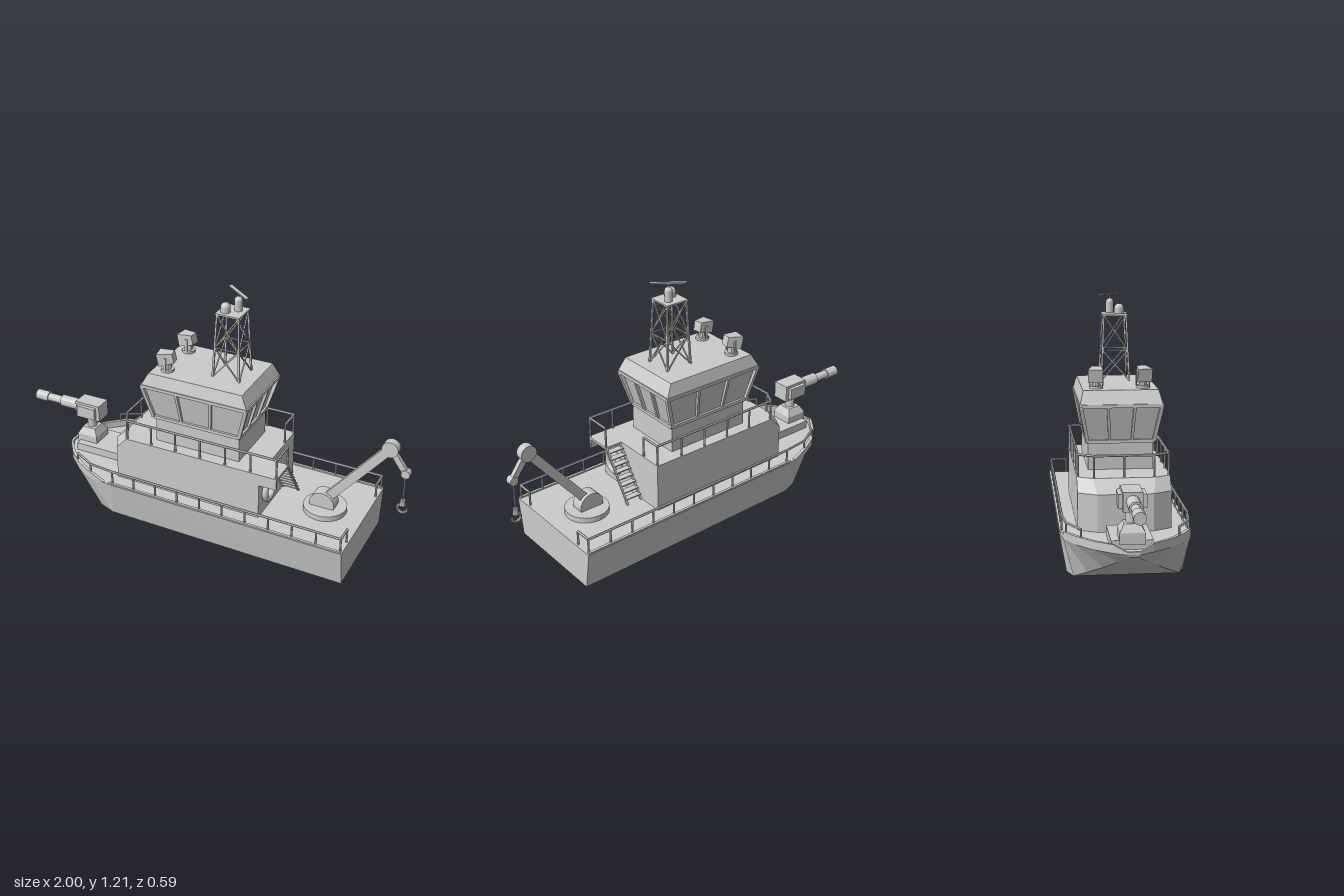
import * as THREE from 'three';

const mat = new THREE.MeshStandardMaterial({ color: 0xcccccc, flatShading: true, side: THREE.DoubleSide });
const smooth = new THREE.MeshStandardMaterial({ color: 0xcccccc });
const V = (x, y, z) => new THREE.Vector3(x, y, z);

function add(parent, name, geo, x = 0, y = 0, z = 0, m = mat) {
  const mesh = new THREE.Mesh(geo, m);
  mesh.name = name;
  mesh.position.set(x, y, z);
  parent.add(mesh);
  return mesh;
}
function group(parent, name, x = 0, y = 0, z = 0) {
  const g = new THREE.Group();
  g.name = name;
  g.position.set(x, y, z);
  parent.add(g);
  return g;
}
const box = (p, name, w, h, d, x, y, z) => add(p, name, new THREE.BoxGeometry(w, h, d), x, y, z);

// Closed solid through a series of rings with equal point counts
function loft(rings) {
  const n = rings[0].length, tris = [];
  for (let i = 0; i < rings.length - 1; i++) {
    for (let j = 0; j < n; j++) {
      const k = (j + 1) % n, a = rings[i], b = rings[i + 1];
      tris.push([a[j], a[k], b[k]], [a[j], b[k], b[j]]);
    }
  }
  const first = rings[0], last = rings[rings.length - 1];
  for (let j = 1; j < n - 1; j++) tris.push([first[0], first[j + 1], first[j]], [last[0], last[j], last[j + 1]]);
  let volume = 0;
  for (const [a, b, c] of tris) volume += a.dot(b.clone().cross(c));
  const pos = [];
  for (const t of tris) for (const v of volume < 0 ? [t[0], t[2], t[1]] : t) pos.push(v.x, v.y, v.z);
  const geo = new THREE.BufferGeometry();
  geo.setAttribute('position', new THREE.Float32BufferAttribute(pos, 3));
  geo.computeVertexNormals();
  return geo;
}
const rect = (x0, x1, y, z) => [V(x0, y, -z), V(x1, y, -z), V(x1, y, z), V(x0, y, z)];

// Bar between two points: round, or square when sides is 4
function strut(p, name, a, b, r, sides = 6) {
  const geo = new THREE.CylinderGeometry(r, r, a.distanceTo(b), sides);
  if (sides === 4) geo.rotateY(Math.PI / 4);
  const m = add(p, name, geo);
  m.position.copy(a).lerp(b, 0.5);
  m.quaternion.setFromUnitVectors(V(0, 1, 0), b.clone().sub(a).normalize());
  return m;
}
// Top bar along a path, with posts at regular steps
function railing(p, name, path, h, step) {
  const g = group(p, name);
  const up = (v) => v.clone().add(V(0, h, 0));
  path.forEach((a, i) => {
    strut(g, 'post', a, up(a), 0.005);
    if (i === path.length - 1) return;
    const b = path[i + 1], n = Math.max(1, Math.round(a.distanceTo(b) / step));
    strut(g, 'topBar', up(a), up(b), 0.006);
    for (let k = 1; k < n; k++) {
      const q = a.clone().lerp(b, k / n);
      strut(g, 'post', q, up(q), 0.005);
    }
  });
}

function buildHull(ship) {
  // Deck x, y, half width; bottom x, y, half width
  const sections = [
    [0.79, 0.187, 0.295, 0.79, 0, 0.265], [-0.4, 0.2, 0.295, -0.42, 0.015, 0.262],
    [-0.53, 0.2, 0.28, -0.5, 0.018, 0.235], [-0.62, 0.2, 0.235, -0.58, 0.06, 0.18],
    [-0.7, 0.2, 0.165, -0.66, 0.105, 0.12], [-0.76, 0.2, 0.085, -0.73, 0.15, 0.06],
    [-0.79, 0.2, 0.03, -0.785, 0.185, 0.02]];
  add(ship, 'hull', loft(sections.map(([x, y, w, bx, by, bw]) =>
    [V(x, y, w), V(x, y, -w), V(bx, by, -bw), V(bx, by, bw)])));
  // Low wall round the bow, fading out towards midships
  const half = [[-0.45, 0.291, 0.002], [-0.53, 0.28, 0.03], ...sections.slice(3).map((s) => [s[0], s[2], s[0] < -0.78 ? 0.01 : 0.035])];
  const path = [...half, ...half.slice().reverse().map(([x, z, h]) => [x, -z, h])];
  add(ship, 'bowBulwark', loft(path.map(([x, z, h]) => {
    const ix = x + (x < -0.6 ? 0.012 : 0.004), iz = z * 0.95;
    return [V(x, 0.198, z), V(x, 0.2 + h, z), V(ix, 0.2 + h, iz), V(ix, 0.198, iz)];
  })));
  for (const s of [1, -1]) {
    strut(ship, 'gunwale', V(0.785, 0.188, s * 0.286), V(-0.42, 0.201, s * 0.286), 0.009, 4);
    railing(ship, 'deckRail', [V(-0.64, 0.2, s * 0.21), V(-0.53, 0.2, s * 0.268), V(-0.4, 0.2, s * 0.281),
      V(0.78, 0.19, s * 0.281), V(0.78, 0.19, s * 0.2)], 0.07, 0.117);
  }
  box(ship, 'foredeckPlatform', 0.24, 0.045, 0.18, -0.6, 0.2175, 0);
}

function buildHouse(ship) {
  const ring = (y, xf, zf, xc, zc) => [V(0.345, y, -zc), V(0.345, y, zc), V(xc, y, zc), V(xf, y, zf), V(xf, y, -zf), V(xc, y, -zc)];
  add(ship, 'deckhouse', loft([ring(0.18, -0.455, 0.125, -0.41, 0.21), ring(0.37, -0.455, 0.125, -0.41, 0.21), ring(0.43, -0.395, 0.14, -0.355, 0.21)]));
  box(ship, 'stairLanding', 0.09, 0.012, 0.14, 0.388, 0.424, 0.14);
  box(ship, 'landingBracket', 0.085, 0.06, 0.012, 0.388, 0.4, 0.203);
  railing(ship, 'upperRail', [V(0.34, 0.43, -0.1), V(0.34, 0.43, -0.204), V(-0.35, 0.43, -0.204), V(-0.388, 0.43, -0.135),
    V(-0.388, 0.43, 0.135), V(-0.35, 0.43, 0.204), V(0.428, 0.43, 0.204), V(0.428, 0.43, 0.075)], 0.1, 0.14);
  // Stairs up to the landing
  const stairs = group(ship, 'stairs');
  for (const x of [0.35, 0.427]) strut(stairs, 'stringer', V(x, 0.19, -0.085), V(x, 0.425, 0.075), 0.006, 4);
  for (let i = 0; i < 8; i++) box(stairs, 'tread', 0.08, 0.006, 0.03, 0.388, 0.218 + i * 0.027, -0.068 + i * 0.0184);
  const ringBuoy = add(ship, 'lifeRing', new THREE.TorusGeometry(0.047, 0.015, 10, 24), 0.358, 0.3, 0.117, smooth);
  ringBuoy.rotation.y = Math.PI / 2;
}

function buildWheelhouse(ship) {
  const g = group(ship, 'wheelhouse');
  add(g, 'wheelhouseBase', loft([rect(-0.22, 0.215, 0.42, 0.15), rect(-0.22, 0.215, 0.56, 0.15)]));
  add(g, 'windowPanes', loft([rect(-0.225, 0.21, 0.56, 0.147), rect(-0.265, 0.255, 0.74, 0.178)]));
  add(g, 'roof', loft([rect(-0.28, 0.27, 0.73, 0.19), rect(-0.242, 0.235, 0.8, 0.172)]));
  // Sills, corner posts and mullions round three windows per side
  const low = rect(-0.23, 0.215, 0.562, 0.152), high = rect(-0.273, 0.263, 0.732, 0.184);
  for (let i = 0; i < 4; i++) {
    const j = (i + 1) % 4;
    strut(g, 'sill', low[i], low[j], 0.011, 4);
    strut(g, 'windowHeader', high[i], high[j], 0.011, 4);
    for (let k = 0; k < 3; k++) {
      strut(g, 'windowPost', low[i].clone().lerp(low[j], k / 3), high[i].clone().lerp(high[j], k / 3), k ? 0.009 : 0.012, 4);
    }
  }
  // Searchlights on the roof
  for (const s of [1, -1]) {
    const lamp = group(g, 'searchlight', -0.175, 0.8, s * 0.107);
    add(lamp, 'lampBase', new THREE.CylinderGeometry(0.032, 0.032, 0.012, 12), 0, 0.006, 0);
    for (const z of [-0.03, 0.03]) box(lamp, 'lampBracket', 0.014, 0.065, 0.005, 0, 0.042, z);
    add(lamp, 'lampPost', new THREE.CylinderGeometry(0.016, 0.02, 0.035, 10), 0, 0.025, 0);
    const face = (x, h, w) => [V(x, -h, -w), V(x, -h, w), V(x, h, w), V(x, h, -w)];
    const head = add(lamp, 'lampHead', loft([face(-0.04, 0.031, 0.034), face(0.035, 0.024, 0.022)]), 0, 0.068, 0);
    head.rotation.set(0, s * 0.15, 0.2);
  }
}

function buildMast(ship) {
  const g = group(ship, 'latticeMast', 0.105, 0, 0);
  const level = (y) => { const t = (y - 0.8) / 0.315; return rect(-0.067 + 0.014 * t, 0.067 - 0.014 * t, y, 0.067 - 0.015 * t); };
  const levels = [0.8, 0.945, 1.11].map(level);
  for (let b = 0; b < 2; b++) {
    const lo = levels[b], hi = levels[b + 1];
    for (let i = 0; i < 4; i++) {
      const j = (i + 1) % 4;
      strut(g, 'mastLeg', lo[i], hi[i], 0.006, 4);
      strut(g, 'mastRung', hi[i], hi[j], 0.004, 4);
      strut(g, 'crossBrace', lo[i], hi[j], 0.004, 4);
      strut(g, 'crossBrace', lo[j], hi[i], 0.004, 4);
    }
  }
  box(g, 'mastPlatform', 0.12, 0.008, 0.12, 0, 1.114, 0);
  for (const [x, z, r, h] of [[-0.025, 0.022, 0.023, 0.024], [0.02, -0.018, 0.019, 0.05]]) {
    add(g, 'domeBase', new THREE.CylinderGeometry(r, r, h, 16), x, 1.117 + h / 2, z, smooth);
    add(g, 'dome', new THREE.SphereGeometry(r, 16, 10), x, 1.117 + h, z, smooth);
  }
  add(g, 'radarStem', new THREE.CylinderGeometry(0.004, 0.004, 0.03, 8), 0.02, 1.192, -0.018);
  box(g, 'radarBar', 0.165, 0.006, 0.016, 0.02, 1.206, -0.018).rotation.y = -0.65;
}

function buildCannon(ship) {
  const g = group(ship, 'waterCannon', -0.68, 0, 0);
  box(g, 'cannonBase', 0.11, 0.05, 0.11, 0, 0.25, 0);
  add(g, 'cannonPedestal', loft([rect(-0.055, 0.055, 0.275, 0.055), rect(-0.035, 0.035, 0.31, 0.035)]));
  add(g, 'cannonColumn', new THREE.CylinderGeometry(0.024, 0.024, 0.07, 12), 0, 0.335, 0);
  box(g, 'cannonBody', 0.135, 0.085, 0.085, 0.002, 0.41, 0);
  for (const z of [-0.052, 0.052]) box(g, 'bodySidePlate', 0.1, 0.06, 0.018, 0.002, 0.41, z);
  for (const [x0, x1, r] of [[-0.06, -0.17, 0.03], [-0.17, -0.25, 0.021], [-0.25, -0.32, 0.027]]) {
    strut(g, 'barrel', V(x0, 0.41, 0), V(x1, 0.41, 0), r, 12);
  }
}

function buildCrane(ship) {
  const g = group(ship, 'crane');
  const joint = (name, x, y, r, w) => strut(g, name, V(x, y, -w), V(x, y, w), r, 20);
  add(g, 'craneBase', new THREE.CylinderGeometry(0.104, 0.104, 0.03, 28), 0.598, 0.2, 0);
  joint('craneHub', 0.59, 0.23, 0.062, 0.032);
  // Booms are flat bars lying in the lengthwise plane
  const boom = (name, a, b, w, d) => {
    const m = box(g, name, a.distanceTo(b), w, d, (a.x + b.x) / 2, (a.y + b.y) / 2, 0);
    m.rotation.z = Math.atan2(b.y - a.y, b.x - a.x);
  };
  boom('mainBoom', V(0.59, 0.24, 0), V(0.89, 0.61, 0), 0.044, 0.03);
  joint('elbow', 0.89, 0.61, 0.039, 0.02);
  boom('jib', V(0.89, 0.61, 0), V(0.97, 0.5, 0), 0.028, 0.022);
  joint('jibTip', 0.97, 0.5, 0.021, 0.017);
  strut(g, 'cable', V(0.967, 0.5, 0), V(0.967, 0.34, 0), 0.004);
  add(g, 'hookBlock', new THREE.CylinderGeometry(0.012, 0.016, 0.03, 8), 0.967, 0.34, 0);
  const hook = add(g, 'hook', new THREE.TorusGeometry(0.022, 0.007, 8, 18, Math.PI * 1.5), 0.967, 0.308, 0);
  hook.rotation.z = Math.PI * 0.55;
}

export function createModel() {
  const ship = new THREE.Group();
  ship.name = 'workboat';
  for (const build of [buildHull, buildHouse, buildWheelhouse, buildMast, buildCannon, buildCrane]) build(ship);
  return ship;
}
